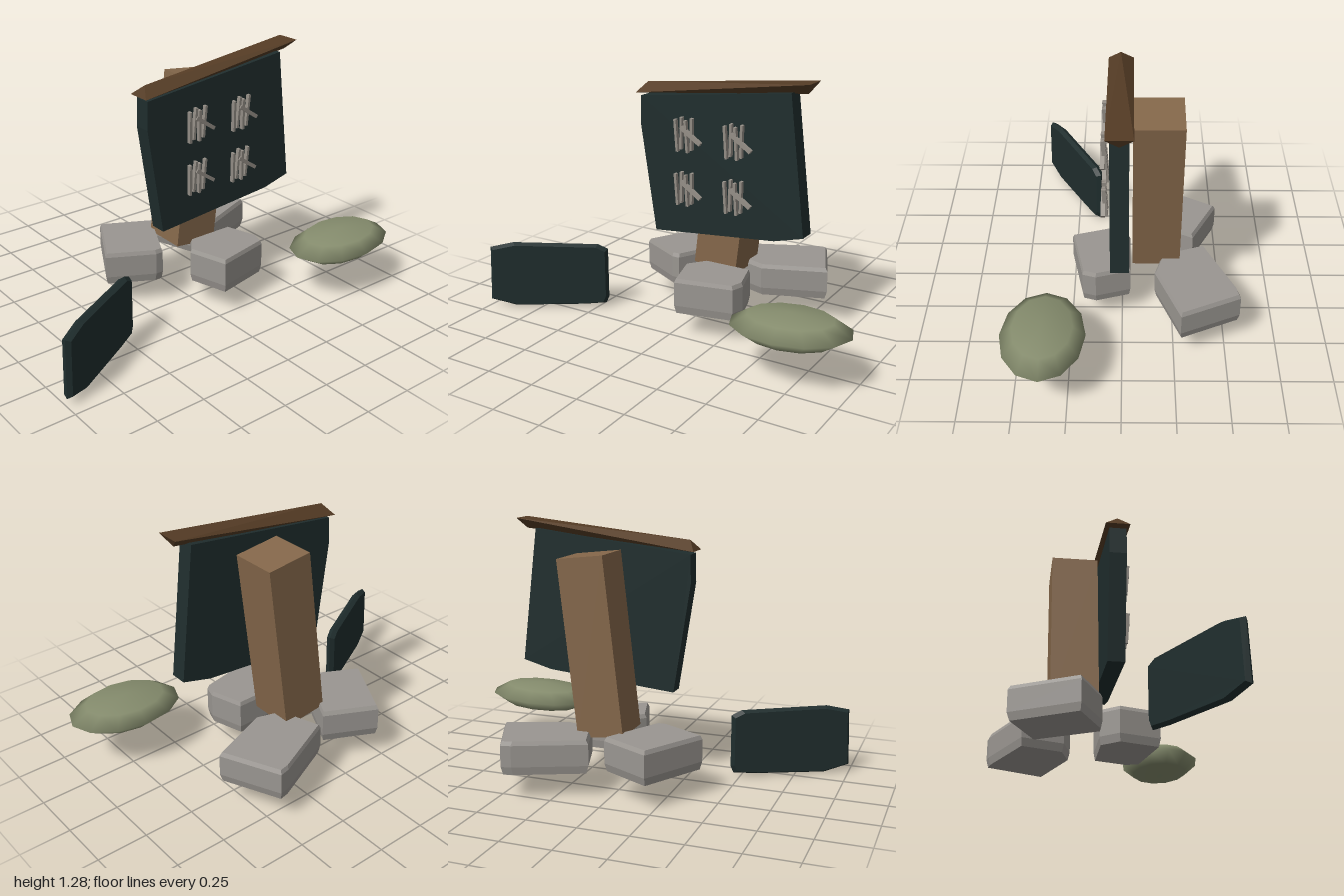
import * as THREE from 'three';
import { ConvexGeometry } from 'three/addons/geometries/ConvexGeometry.js';

const material = (name, color) => {
  const m = new THREE.MeshStandardMaterial({ color });
  m.name = name;
  return m;
};

export function createModel() {
  const root = new THREE.Group();
  const wood = material('post wood', 0x84674a);
  const darkWood = material('dark wood', 0x553c25);
  const slate = material('dark slate', 0x1f2d2d);
  const grey = material('stone grey', 0x9a9691);
  const chalk = material('chalk grey', 0x958f87);
  const olive = material('moss green', 0x858c6d);

  const add = (parent, name, geometry, mat, pos = [0, 0, 0], rot = [0, 0, 0]) => {
    const mesh = new THREE.Mesh(geometry, mat);
    mesh.name = name;
    mesh.position.set(...pos);
    mesh.rotation.set(...rot);
    parent.add(mesh);
    return mesh;
  };
  const hull = (points) => new ConvexGeometry(points.map((p) => new THREE.Vector3(...p)));

  // Leaning square post
  add(root, 'post', new THREE.BoxGeometry(0.235, 0.87, 0.235), wood, [0.132, 0.705, -0.168], [0, 0, -0.117]);

  // Crooked sign board
  const outline = [[-0.2, 0.46], [0.46, 0.52], [0.61, 0.56], [0.53, 1.235], [-0.28, 1.14], [-0.283, 1.0]];
  const boardShape = new THREE.Shape(outline.map(([x, y]) => new THREE.Vector2(x, y)));
  add(root, 'signBoard', new THREE.ExtrudeGeometry(boardShape, { depth: 0.085, bevelEnabled: false }),
    slate, [0, 0, -0.032]);

  // Rough-cut cap with pointed, opposing ends
  add(root, 'signCap', hull([
    [-0.3, 1.155, 0.07], [-0.3, 1.155, -0.052], [-0.265, 1.205, 0.01],
    [0.625, 1.285, 0.07], [0.625, 1.285, -0.052], [0.595, 1.232, 0.01],
  ]), darkWood);

  // Four groups of tally marks
  for (const x of [0, 0.27]) {
    for (const y of [0.98, 0.71]) {
      const tally = new THREE.Group();
      tally.name = 'tallyMarks';
      tally.position.set(x, y, 0.082);
      root.add(tally);
      [-0.058, -0.03, -0.002, 0.027].forEach((sx, i) => {
        add(tally, 'stroke', new THREE.BoxGeometry(0.013, 0.16, 0.02), chalk,
          [sx, i % 2 ? 0.008 : -0.006, 0], [0.06, 0, i % 2 ? -0.05 : 0.04]);
      });
      add(tally, 'slash', new THREE.BoxGeometry(0.13, 0.018, 0.02), chalk, [0.026, 0.003, 0.008], [0, 0, -0.6]);
    }
  }

  // Base stones: plan outline [x, z], given a narrower lower rim
  const stone = (name, plan, low, high) => {
    const cx = plan.reduce((s, p) => s + p[0], 0) / plan.length;
    const cz = plan.reduce((s, p) => s + p[1], 0) / plan.length;
    const ring = (y, k) => plan.map(([x, z]) => [cx + (x - cx) * k, y, cz + (z - cz) * k]);
    add(root, name, hull([...ring(low, 0.95), ...ring(low + 0.04, 1), ...ring(high - 0.02, 1), ...ring(high, 0.95)]), grey);
  };
  stone('frontStone', [[-0.03, 0.05], [0.03, 0.255], [0.32, 0.195], [0.34, 0.13], [0.29, -0.04], [0.04, -0.04]], 0.13, 0.31);
  stone('backRightStone', [[-0.22, -0.49], [0.03, -0.36], [-0.13, -0.05], [-0.17, -0.05], [-0.395, -0.17]], 0.135, 0.305);
  stone('backLeftStone', [[0.09, -0.41], [0.42, -0.56], [0.47, -0.57], [0.6, -0.28], [0.29, -0.16], [0.16, -0.2]], 0.13, 0.295);

  // Loose slab standing beside the sign
  const slab = [[-0.31, -0.14], [-0.18, -0.175], [0.18, -0.165], [0.295, -0.155], [0.31, -0.12],
    [0.31, 0.145], [0.26, 0.17], [-0.18, 0.177], [-0.3, 0.15]];
  add(root, 'looseSlab', hull([
    ...slab.map(([x, y]) => [x, y, 0]),
    ...[-0.022, 0.022].flatMap((z) => slab.map(([x, y]) => [x * 0.95, y * 0.93, z])),
  ]), slate, [-0.725, 0.183, 0.275], [0, 0.512, 0]);

  // Flattened mossy mound
  const moss = add(root, 'mossMound', new THREE.SphereGeometry(1, 12, 4), olive, [0.705, 0.262, 0.365], [0, 0, 0.035]);
  moss.scale.set(0.295, 0.073, 0.2);

  return root;
}
